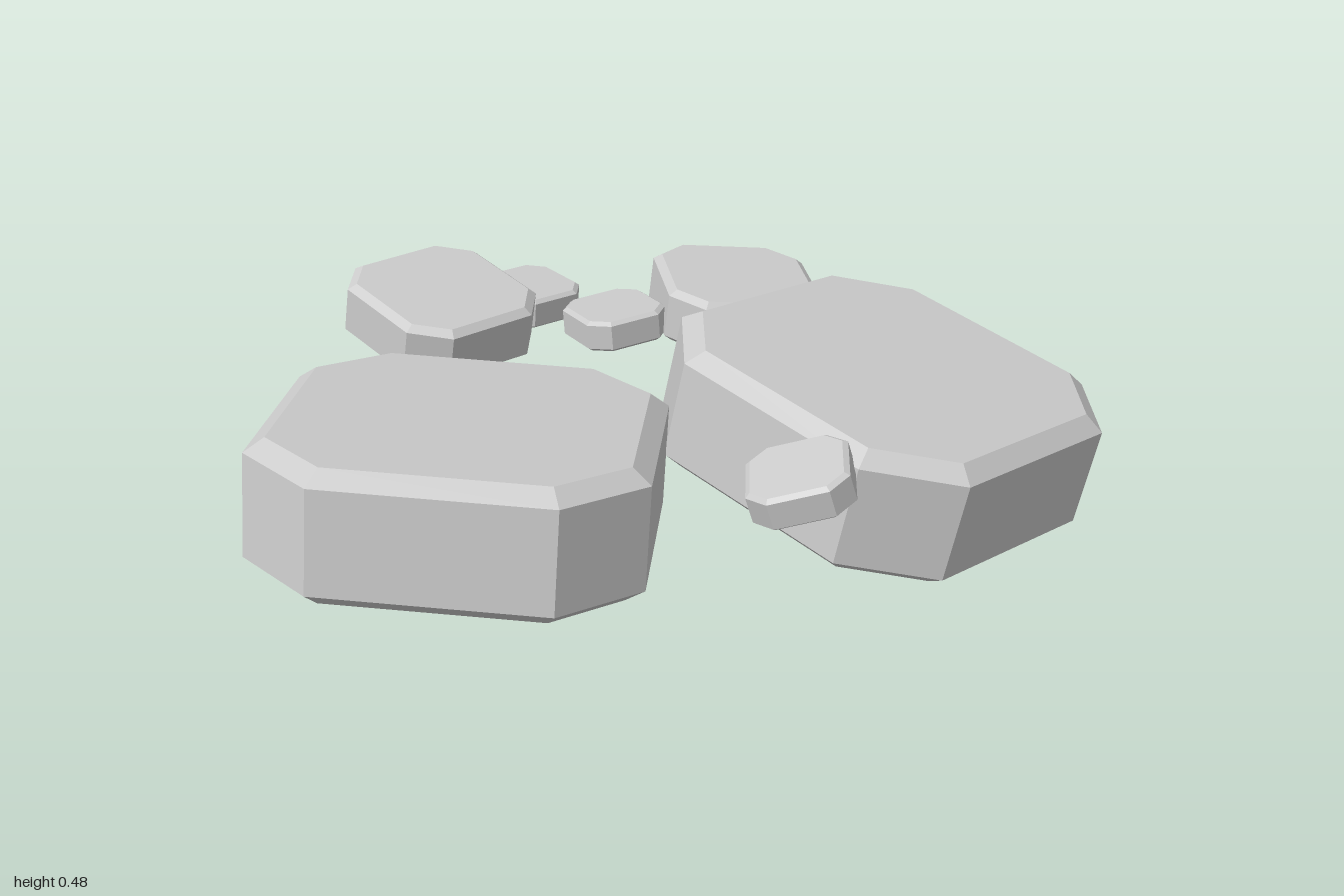
import * as THREE from 'three';

// Square slab of half-width 1 with cut corners and bevelled edges, top face at y = 0
function slabGeometry() {
  const side = 0.6, thickness = 0.7, bevel = 0.075;
  const outline = new THREE.Shape([
    [side, -1], [1, -side], [1, side], [side, 1],
    [-side, 1], [-1, side], [-1, -side], [-side, -1],
  ].map(([x, y]) => new THREE.Vector2(x, y)));
  return new THREE.ExtrudeGeometry(outline, {
    depth: thickness - 2 * bevel,
    bevelThickness: bevel, bevelSize: 0.1, bevelOffset: -0.1, bevelSegments: 1,
  }).rotateX(-Math.PI / 2).translate(0, bevel - thickness, 0);
}

// Centre of the top face, half-width, turn about y, and rise of the top along x and z
const STONES = [
  { name: 'frontLargeStone', at: [0.02, 0.41, 0.467], size: 0.44, turn: -0.707, rise: [0.04, 0.095] },
  { name: 'backLargeStone', at: [0.337, 0.404, -0.522], size: 0.442, turn: 0.175, rise: [-0.16, 0.115] },
  { name: 'backMediumStone', at: [-0.363, 0.395, -0.606], size: 0.205, turn: -0.46, rise: [-0.1, 0.06] },
  { name: 'sideMediumStone', at: [-0.598, 0.455, 0.155], size: 0.205, turn: 0.12, rise: [-0.18, 0.03] },
  { name: 'innerSmallStone', at: [-0.473, 0.345, -0.282], size: 0.115, turn: -0.12, rise: [0.05, -0.05] },
  { name: 'outerSmallStone', at: [-0.707, 0.36, -0.175], size: 0.113, turn: 0.08, rise: [-0.06, 0.03] },
  { name: 'rightSmallStone', at: [0.612, 0.383, 0], size: 0.115, turn: 0.88, rise: [0.1, -0.3] },
];

export function createModel() {
  const group = new THREE.Group();
  group.name = 'steppingStones';
  const geometry = slabGeometry();
  const material = new THREE.MeshStandardMaterial({ color: 0xcccccc, flatShading: true });
  const up = new THREE.Vector3(0, 1, 0);

  for (const { name, at, size, turn, rise } of STONES) {
    const stone = new THREE.Mesh(geometry, material);
    stone.name = name;
    stone.position.set(...at);
    stone.scale.setScalar(size);
    // Tilt the turned slab so its top follows the rise
    const normal = new THREE.Vector3(-rise[0], 1, -rise[1]).normalize();
    stone.quaternion.setFromUnitVectors(up, normal)
      .multiply(new THREE.Quaternion().setFromAxisAngle(up, turn));
    group.add(stone);
  }
  return group;
}
